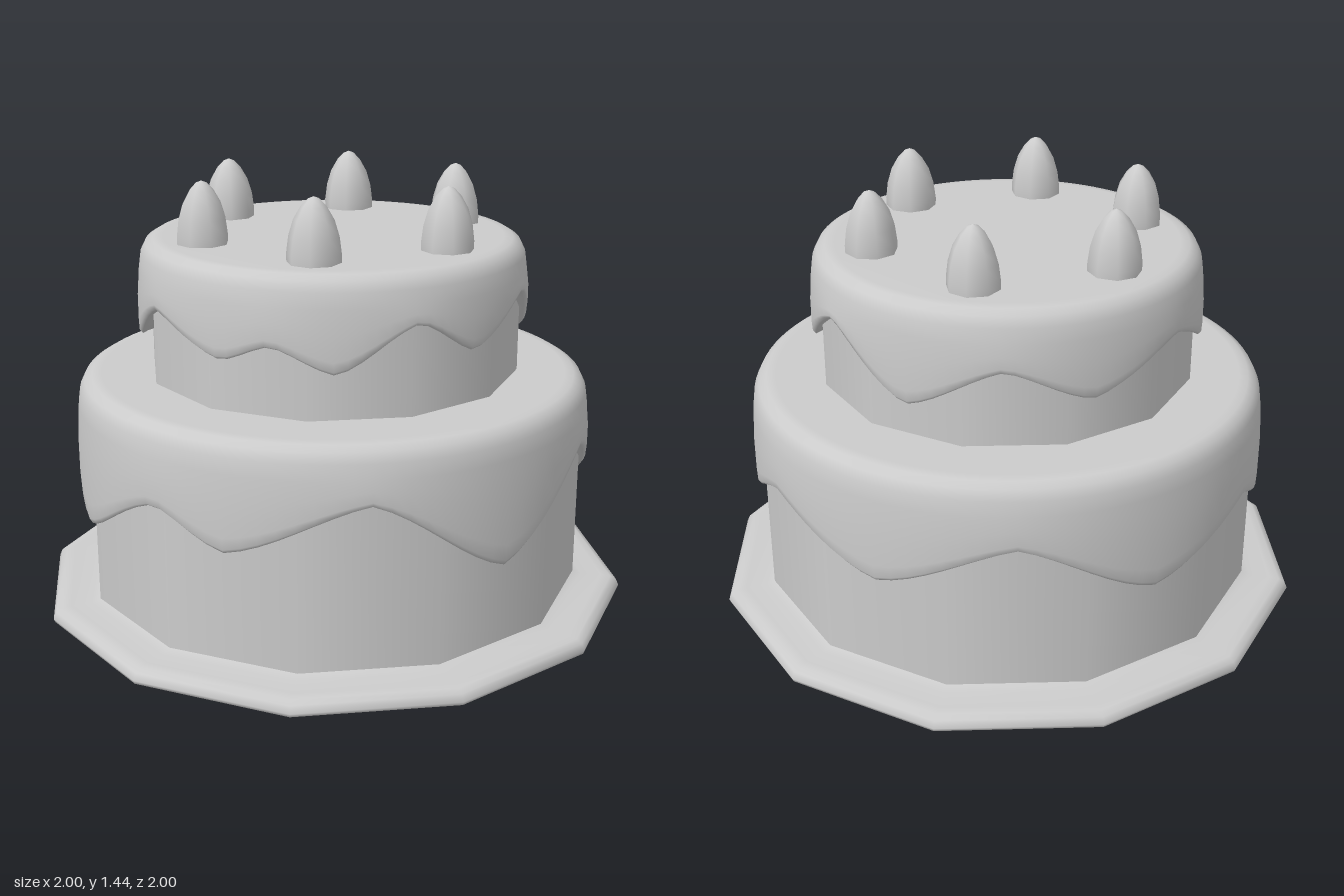
import * as THREE from 'three';
import { mergeVertices } from 'three/addons/utils/BufferGeometryUtils.js';

const material = new THREE.MeshStandardMaterial({ color: 0xcccccc });
const pts = (list) => list.map(([x, y]) => new THREE.Vector2(x, y));

function addLathe(parent, name, profile, sides) {
  const mesh = new THREE.Mesh(new THREE.LatheGeometry(pts(profile), sides), material);
  mesh.name = name;
  parent.add(mesh);
  return mesh;
}

// Height of the dripping edge at an angle, eased between [degrees, height] crests and drops
function dripHeight(drips, deg) {
  const n = drips.length;
  for (let i = 0; i < n; i++) {
    const [a0, y0] = drips[i];
    const [a1, y1] = drips[(i + 1) % n];
    const span = (a1 - a0 + 360) % 360;
    const d = (deg - a0 + 360) % 360;
    if (d <= span) {
      const t = d / span;
      const eased = (t + t * t * (3 - 2 * t)) / 2;
      return y0 + (y1 - y0) * eased;
    }
  }
  return drips[0][1];
}

// Icing: a lathe whose lower part is stretched down to the wavy drip edge.
// Profile heights above 0 are real, below 0 they are fractions of the drip length.
function addIcing(parent, name, radius, top, drips) {
  const shoulder = top - 0.1;
  const profile = pts([
    [radius - 0.07, -0.9], [radius - 0.03, -0.96], [radius - 0.012, -1], [radius - 0.002, -0.95],
    [radius, -0.8], [radius, -0.4], [radius - 0.007, 0], [radius - 0.014, 0.05],
    [radius - 0.03, 0.082], [radius - 0.055, 0.097], [radius - 0.085, 0.1], [0, 0.1],
  ]);
  let geometry = new THREE.LatheGeometry(profile, 96);
  const p = geometry.attributes.position;
  const rings = profile.length;
  for (let i = 0; i < p.count; i++) {
    const deg = (Math.floor(i / rings) / 96) * 360;
    const y = p.getY(i);
    const drop = shoulder - dripHeight(drips, deg % 360);
    p.setY(i, shoulder + (y < 0 ? y * drop : y));
  }
  geometry.deleteAttribute('uv');
  geometry.deleteAttribute('normal');
  geometry = mergeVertices(geometry, 1e-5);
  geometry.computeVertexNormals();
  const mesh = new THREE.Mesh(geometry, material);
  mesh.name = name;
  parent.add(mesh);
}

export function createModel() {
  const cake = new THREE.Group();
  cake.name = 'tieredCake';

  // Twelve-sided plate
  addLathe(cake, 'plate', [
    [0, 0], [0.975, 0], [0.975, 0], [0.995, 0.008], [1, 0.02], [0.99, 0.042], [0.97, 0.052],
    [0.94, 0.055], [0.87, 0.055], [0.84, 0.065],
  ], 12);

  // Sponge tiers
  addLathe(cake, 'lowerTier', [[0.84, 0.05], [0.84, 0.74]], 12);
  addLathe(cake, 'upperTier', [[0.62, 0.78], [0.62, 1.19]], 12);

  // Dripping icing on both tiers, angles run from the front towards +x
  addIcing(cake, 'lowerIcing', 0.864, 0.79, [
    [15, 0.61], [45, 0.36], [75, 0.55], [105, 0.41], [135, 0.575], [165, 0.37], [195, 0.5],
    [210, 0.405], [225, 0.43], [240, 0.34], [268, 0.54], [285, 0.44], [315, 0.61], [345, 0.35],
  ]);
  addIcing(cake, 'upperIcing', 0.647, 1.24, [
    [16, 1.1], [44, 0.9], [76, 1.1], [104, 0.91], [132, 1.05], [157, 0.94], [187, 1.06],
    [222, 0.905], [248, 1.06], [275, 0.96], [290, 1.02], [308, 0.94], [331, 1.085], [350, 0.97],
  ]);

  // Ring of six pointed toppings
  const toppings = new THREE.Group();
  toppings.name = 'toppings';
  for (let i = 0; i < 6; i++) {
    const angle = (i * Math.PI) / 3;
    const topping = addLathe(toppings, 'topping', [
      [0.084, -0.01], [0.085, 0.025], [0.078, 0.08], [0.063, 0.13], [0.04, 0.17], [0.018, 0.193], [0, 0.2],
    ], 8);
    topping.position.set(0.45 * Math.sin(angle), 1.24, 0.45 * Math.cos(angle));
    topping.rotation.y = angle;
  }
  cake.add(toppings);

  return cake;
}
